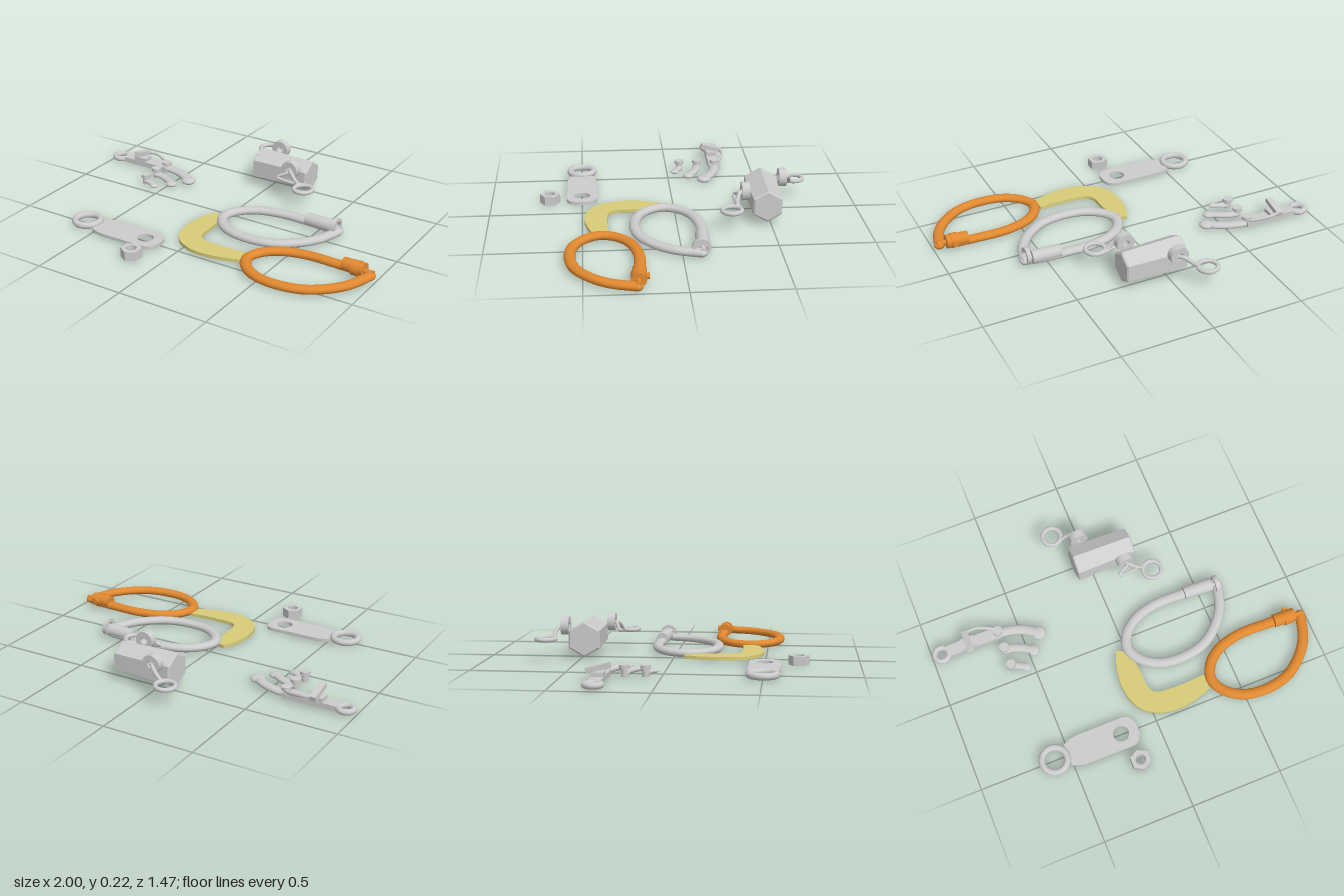
import * as THREE from 'three';

const grey = new THREE.MeshStandardMaterial({ color: 0xcccccc, side: THREE.DoubleSide });
const orange = new THREE.MeshStandardMaterial({ color: 0xe08830 });
const yellow = new THREE.MeshStandardMaterial({ color: 0xd8cc78 });
const V = (x, y, z) => new THREE.Vector3(x, y, z);

function add(parent, name, geo, x = 0, y = 0, z = 0, mat = grey) {
  const m = new THREE.Mesh(geo, mat);
  m.name = name;
  m.position.set(x, y, z);
  parent.add(m);
  return m;
}

function group(parent, name, x = 0, z = 0) {
  const g = new THREE.Group();
  g.name = name;
  g.position.set(x, 0, z);
  parent.add(g);
  return g;
}

// Flat slab from a shape drawn in x and z, resting on y = bottom
function slab(shape, height, bottom = 0) {
  return new THREE.ExtrudeGeometry(shape, { depth: height, bevelEnabled: false, curveSegments: 32 })
    .rotateX(Math.PI / 2).translate(0, bottom + height, 0);
}

function hole(shape, x, y, r) {
  const p = new THREE.Path();
  p.absarc(x, y, r, 0, Math.PI * 2, true);
  shape.holes.push(p);
  return shape;
}

// Smooth tube through points
function tube(points, r, segments = 32) {
  return new THREE.TubeGeometry(new THREE.CatmullRomCurve3(points.map(p => V(...p))), segments, r, 12);
}

function flatRing(r, t) {
  return new THREE.TorusGeometry(r, t, 14, 36).rotateX(Math.PI / 2);
}

// Short bushing with an open centre, axis along y
function bushing(outer, inner, h) {
  const p = [[inner, -h / 2], [outer, -h / 2], [outer, h / 2], [inner, h / 2], [inner, -h / 2]];
  const pts = p.map(([x, y]) => new THREE.Vector2(x, y));
  return new THREE.LatheGeometry(pts, 28).toNonIndexed();
}

function creased(geo) {
  geo.computeVertexNormals();
  return geo;
}

function carabiner(parent, name, x, z, mat, accent) {
  const g = group(parent, name, x, z);
  const path = [[.56, -.108], [.42, -.115], [.25, -.115], [.12, -.08], [.04, -.015], [.01, .07], [.05, .15],
    [.14, .21], [.27, .227], [.4, .2], [.5, .13], [.57, .04], [.615, -.09]].map(([a, b]) => [a, 0, b]);
  const body = add(g, 'carabinerFrame', tube(path, .029, 90), 0, .022, 0, mat);
  body.scale.y = .76;
  const nose = add(g, 'carabinerNose', new THREE.SphereGeometry(.029, 16, 12), .614, .022, -.093, mat);
  nose.scale.y = .76;
  // Gate sleeve and hinge
  const start = accent ? .46 : .42;
  const sleeve = new THREE.CylinderGeometry(.035, .037, .58 - start, 24).rotateZ(Math.PI / 2);
  add(g, 'gateSleeve', sleeve, (.58 + start) / 2, .038, -.107, mat).rotation.y = -.05;
  if (accent) {
    add(g, 'gateCollar', new THREE.CylinderGeometry(.04, .04, .04, 24).rotateZ(Math.PI / 2), .535, .037, -.104, mat);
    add(g, 'gateKnob', new THREE.CylinderGeometry(.016, .016, .03, 14).rotateX(Math.PI / 2), .54, .04, -.14, mat);
  } else {
    add(g, 'gateRing', creased(bushing(.047, .029, .022)).rotateZ(Math.PI / 2), .603, .048, -.093, mat);
  }
  add(g, 'gatePin', new THREE.CylinderGeometry(.014, .014, .06, 12).rotateZ(Math.PI / 2), .6, .035, -.1, mat);
}

function chock(parent) {
  const g = group(parent, 'hexChock', .075, -.478);
  // Tapered hexagonal block, edges slightly eased by a short end bevel
  const rings = [[-.17, .088], [-.163, .098], [.163, .088], [.17, .079]];
  const pts = [new THREE.Vector2(0, -.17), ...rings.map(([y, r]) => new THREE.Vector2(r, y)), new THREE.Vector2(0, .17)];
  const block = creased(new THREE.LatheGeometry(pts, 6).toNonIndexed());
  block.rotateY(Math.PI / 2).rotateZ(-Math.PI / 2);
  // Turn a point upward, whichever way the lathe seam lies
  block.computeBoundingBox();
  const b = block.boundingBox;
  if (b.max.z - b.min.z > b.max.y - b.min.y) block.rotateX(Math.PI / 2);
  add(g, 'hexBlock', block, 0, .105, 0);

  for (const turn of [0, Math.PI]) {
    const side = group(g, 'wireLoop');
    side.rotation.y = turn;
    add(side, 'wireBushing', creased(bushing(.05, .02, .042)).rotateX(Math.PI / 2), .095, .17, .113);
    add(side, 'loopWire', tube([[.09, .165, .12], [.115, .165, .145], [.145, .14, .16], [.175, .113, .163]], .011), 0, 0, 0);
    if (!turn) add(side, 'loopTail', tube([[.1, .16, .14], [.04, .13, .165], [.12, .118, .165], [.19, .113, .148]], .009));
    add(side, 'loopRing', flatRing(.051, .012), .222, .113, .197);
  }
}

function camTool(parent) {
  const g = group(parent, 'camDevice');
  // Stem with eye
  add(g, 'stemEye', flatRing(.039, .016), -.945, .021, -.283);
  add(g, 'stem', new THREE.BoxGeometry(.3, .03, .064), -.755, .021, -.283);
  // Trigger bar, tilted across the stem
  add(g, 'triggerBase', new THREE.BoxGeometry(.08, .022, .06), -.79, .046, -.283);
  add(g, 'triggerBar', new THREE.BoxGeometry(.036, .026, .125), -.79, .075, -.283).rotation.x = -.25;
  add(g, 'triggerWire', tube([[-.79, .065, -.335], [-.73, .062, -.342], [-.67, .05, -.325], [-.61, .04, -.295]], .009));
  // Three curved lobes of decreasing size, each on its own pivot
  const lobes = [
    [[[-.63, -.283], [-.56, -.277], [-.48, -.25], [-.41, -.203]], .028, .04],
    [[[-.625, -.18], [-.57, -.172], [-.52, -.15], [-.47, -.118]], .024, .032],
    [[[-.62, -.075], [-.59, -.07], [-.565, -.058], [-.54, -.043]], .02, .024],
  ];
  for (const [path, r, tip] of lobes) {
    const arm = add(g, 'lobeArm', tube(path.map(([x, z]) => [x, 0, z]), r, 24), 0, .021, 0);
    arm.scale.y = .6;
    const [ex, ez] = path[3];
    add(g, 'lobeTip', new THREE.SphereGeometry(tip, 20, 12), ex, .02, ez).scale.y = .45;
    const pz = path[0][1];
    add(g, 'pivotPost', new THREE.CylinderGeometry(.018, .018, .05, 16), -.617, .028, pz);
    add(g, 'pivotCap', new THREE.CylinderGeometry(.027, .027, .018, 20), -.617, .053, pz);
  }
}

function hangerPlate(parent) {
  const g = group(parent, 'hanger');
  const s = new THREE.Shape();
  s.moveTo(-.51, .44);
  s.quadraticCurveTo(-.47, .418, -.41, .418);
  s.lineTo(-.17, .418);
  s.quadraticCurveTo(-.11, .422, -.11, .5);
  s.quadraticCurveTo(-.11, .582, -.17, .584);
  s.lineTo(-.41, .584);
  s.quadraticCurveTo(-.47, .584, -.51, .56);
  s.closePath();
  add(g, 'hangerPlate', slab(hole(s, -.205, .5, .043), .018));
  add(g, 'hangerRing', flatRing(.068, .018), -.585, .02, .5);
  // Loose hex nut
  const n = new THREE.Shape();
  for (let i = 0; i < 6; i++) {
    const a = Math.PI / 6 + i * Math.PI / 3;
    n[i ? 'lineTo' : 'moveTo'](.056 * Math.cos(a), .056 * Math.sin(a));
  }
  add(parent, 'hexNut', slab(hole(n, 0, 0, .028), .05), -.165, 0, .677);
}

export function createModel() {
  const model = new THREE.Group();
  model.name = 'climbingGear';
  carabiner(model, 'greyCarabiner', 0, 0, grey, false);
  carabiner(model, 'orangeCarabiner', .353, .337, orange, true);

  // Curved flat sling between the carabiners
  const s = new THREE.Shape();
  s.moveTo(-.055, .06);
  s.lineTo(-.005, .075);
  s.bezierCurveTo(.02, .14, .025, .2, .024, .29);
  s.bezierCurveTo(.03, .35, .06, .365, .11, .365);
  s.quadraticCurveTo(.22, .375, .335, .36);
  s.lineTo(.335, .445);
  s.bezierCurveTo(.22, .49, .1, .505, .02, .465);
  s.bezierCurveTo(-.09, .42, -.1, .32, -.103, .25);
  s.quadraticCurveTo(-.1, .15, -.055, .06);
  add(model, 'sling', slab(s, .018, .004), 0, 0, 0, yellow);

  chock(model);
  camTool(model);
  hangerPlate(model);
  return model;
}
